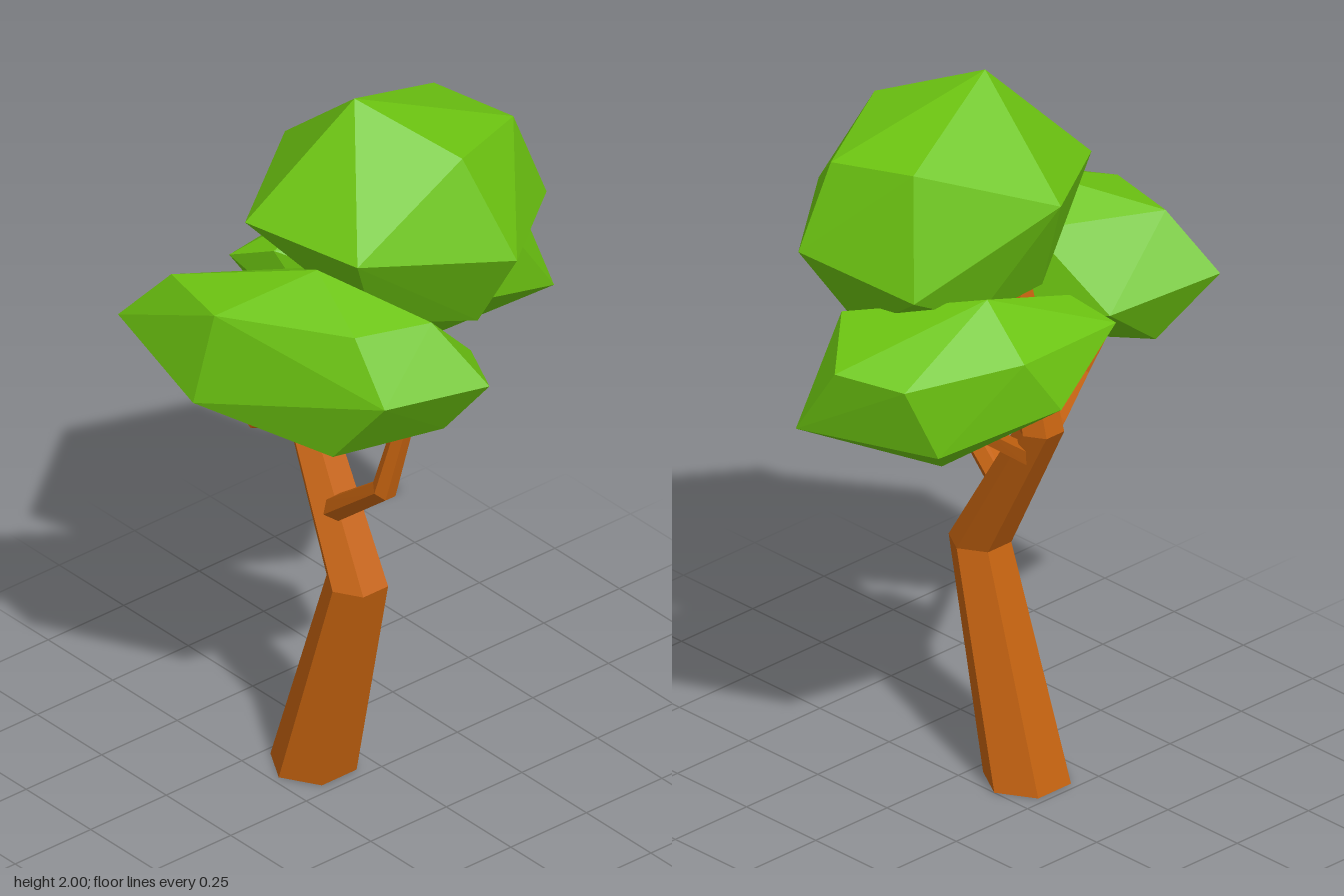
import * as THREE from 'three';
import { ConvexGeometry } from 'three/addons/geometries/ConvexGeometry.js';

const bark = new THREE.MeshStandardMaterial({ color: 0xc4620f, flatShading: true });
const leaf = new THREE.MeshStandardMaterial({ color: 0x6cc411, flatShading: true });

// Faceted limb through [x, y, z, radius] stations; level keeps the rings horizontal
function limb(name, stations, sides, level = false) {
  const centres = stations.map(([x, y, z]) => new THREE.Vector3(x, y, z));
  const last = stations.length - 1;
  const up = new THREE.Vector3(0, 1, 0);
  const pos = [], index = [];
  stations.forEach((s, i) => {
    const q = new THREE.Quaternion();
    if (!level) {
      const before = centres[i].clone().sub(centres[Math.max(i - 1, 0)]).normalize();
      const after = centres[Math.min(i + 1, last)].clone().sub(centres[i]).normalize();
      q.setFromUnitVectors(up, before.add(after).normalize());
    }
    for (let k = 0; k < sides; k++) {
      const a = (k / sides) * Math.PI * 2;
      const p = new THREE.Vector3(Math.sin(a), 0, Math.cos(a)).multiplyScalar(s[3]);
      pos.push(...p.applyQuaternion(q).add(centres[i]).toArray());
    }
  });
  for (let i = 0; i < last; i++) {
    for (let k = 0; k < sides; k++) {
      const a = i * sides + k, b = i * sides + ((k + 1) % sides);
      index.push(a, b, b + sides, a, b + sides, a + sides);
    }
  }
  // End caps
  const top = last * sides;
  for (let k = 1; k < sides - 1; k++) {
    index.push(0, k + 1, k, top, top + k, top + k + 1);
  }
  const geo = new THREE.BufferGeometry();
  geo.setAttribute('position', new THREE.Float32BufferAttribute(pos, 3));
  geo.setIndex(index);
  const flat = geo.toNonIndexed();
  flat.computeVertexNormals();
  const mesh = new THREE.Mesh(flat, bark);
  mesh.name = name;
  return mesh;
}

// Faceted leaf clump: the hull of a few corner points
function clump(name, points) {
  const mesh = new THREE.Mesh(
    new ConvexGeometry(points.map((p) => new THREE.Vector3(...p))), leaf);
  mesh.name = name;
  return mesh;
}

export function createModel() {
  const tree = new THREE.Group();
  tree.name = 'tree';

  // Crooked trunk and its branches
  tree.add(
    limb('trunk', [
      [-0.13, 0, 0.115, 0.115], [0.04, 0.62, 0.115, 0.082],
      [-0.225, 1.05, 0.07, 0.062], [-0.13, 1.48, 0.065, 0.04],
    ], 6, true),
    limb('leftBranch', [
      [-0.05, 0.79, 0.12, 0.036], [0.185, 0.975, 0.15, 0.033], [0.25, 1.28, 0.11, 0.024],
    ], 6),
    limb('frontBranch', [
      [-0.17, 0.95, 0.11, 0.026], [-0.175, 1.02, 0.18, 0.022],
      [-0.13, 1.09, 0.31, 0.018], [-0.15, 1.22, 0.39, 0.014],
    ], 5),
    limb('backBranch', [
      [-0.19, 0.96, 0.06, 0.027], [-0.2, 1.1, -0.12, 0.025], [-0.22, 1.16, -0.25, 0.018],
    ], 5),
  );

  // Leaf clumps
  tree.add(
    clump('topFoliage', [
      [-0.03, 2, 0.065], [0.23, 1.89, -0.07], [0.1, 1.84, -0.35], [-0.126, 1.86, -0.28],
      [0.36, 1.62, -0.14], [0.135, 1.6, -0.43], [-0.19, 1.54, -0.34], [-0.34, 1.74, 0.03],
      [-0.126, 1.7, 0.345], [0.21, 1.69, 0.26],
      [0.22, 1.38, -0.13], [0.04, 1.37, -0.3], [-0.19, 1.42, -0.12], [-0.2, 1.44, 0.1],
      [0.12, 1.43, 0.13],
    ]),
    clump('frontFoliage', [
      [0.06, 1.615, 0.265], [0.34, 1.535, 0.125], [0.27, 1.535, 0.32], [-0.04, 1.535, 0.52],
      [-0.26, 1.535, 0.475], [-0.08, 1.52, 0.18],
      [0.47, 1.375, 0.045], [0.38, 1.37, 0.315], [-0.07, 1.28, 0.565], [-0.39, 1.38, 0.54],
      [-0.28, 1.32, 0.26], [0.31, 1.375, -0.03],
      [0.335, 1.2, 0.08], [0.22, 1.17, 0.35], [0, 1.14, 0.32], [-0.26, 1.18, 0.44],
      [0.06, 1.25, 0.08],
    ]),
    clump('backFoliage', [
      [-0.285, 1.53, -0.175], [0.02, 1.46, -0.39], [-0.13, 1.4, -0.56], [-0.3, 1.38, -0.48],
      [-0.44, 1.41, -0.195], [-0.29, 1.44, 0.11], [-0.41, 1.39, 0.155],
      [-0.475, 1.26, -0.1], [0, 1.2, -0.57], [-0.34, 1.18, -0.4], [0.02, 1.3, -0.18],
      [-0.155, 1.09, -0.245], [-0.28, 1.11, -0.33], [-0.34, 1.18, 0.03], [-0.16, 1.16, 0],
    ]),
  );
  return tree;
}
